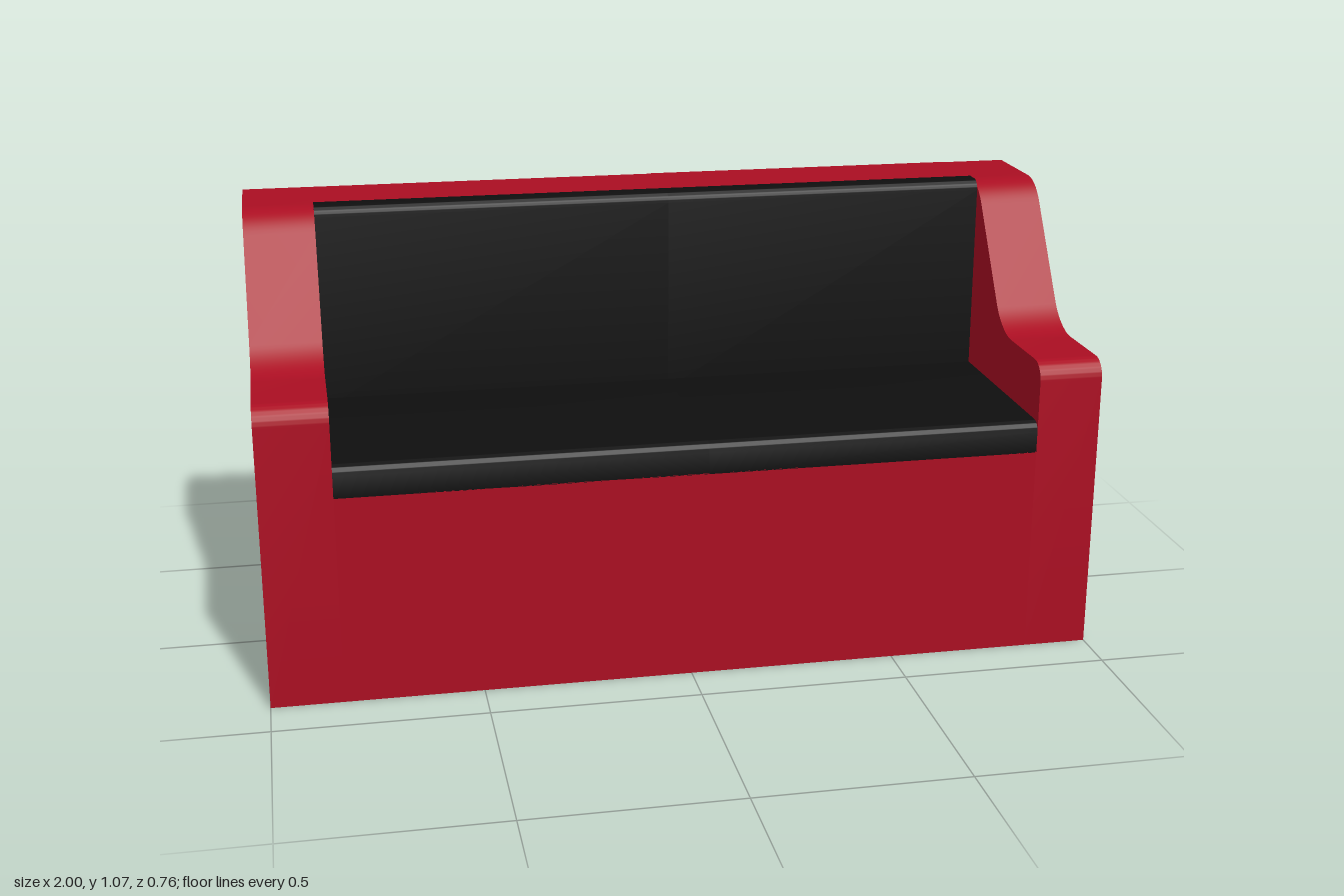
import * as THREE from 'three';
import { toCreasedNormals } from 'three/addons/utils/BufferGeometryUtils.js';

const red = new THREE.MeshStandardMaterial({ color: 0xaa0e22 });
const black = new THREE.MeshStandardMaterial({ color: 0x0e0e0e });

const BACK = -0.38, FRONT = 0.38, TOP = 1.066;
const ARM_R = -0.83, ARM_L = 0.845, SEAM = 0.04;

// Sweeps a side profile drawn in (z, y) from x0 to x1.
function sweep(name, shape, x0, x1, material) {
  const geo = new THREE.ExtrudeGeometry(shape, { depth: x1 - x0, bevelEnabled: false, curveSegments: 10 });
  geo.rotateY(-Math.PI / 2).translate(x1, 0, 0);
  const mesh = new THREE.Mesh(toCreasedNormals(geo, 0.6), material);
  mesh.name = name;
  return mesh;
}

function block(name, x0, x1, y0, y1, z0, z1) {
  const mesh = new THREE.Mesh(new THREE.BoxGeometry(x1 - x0, y1 - y0, z1 - z0), red);
  mesh.position.set((x0 + x1) / 2, (y0 + y1) / 2, (z0 + z1) / 2);
  mesh.name = name;
  return mesh;
}

// Sloping arm with a rounded front and S-shaped rise to the back
function armProfile() {
  const s = new THREE.Shape();
  s.moveTo(BACK, 0);
  s.lineTo(FRONT, 0);
  s.lineTo(FRONT, 0.685);
  s.absarc(FRONT - 0.045, 0.685, 0.045, 0, Math.PI / 2, false);
  s.lineTo(0.17, 0.73);
  s.bezierCurveTo(0.13, 0.73, 0.085, 0.757, 0.063, 0.787);
  s.lineTo(-0.09, 1.015);
  s.bezierCurveTo(-0.11, 1.045, -0.14, TOP, -0.18, TOP);
  s.lineTo(BACK, TOP);
  return s;
}

// Cushion section with its upper front edge rounded
function cushionProfile(z0, z1, y0, y1, r) {
  const s = new THREE.Shape();
  s.moveTo(z0, y0);
  s.lineTo(z1, y0);
  s.lineTo(z1, y1 - r);
  s.absarc(z1 - r, y1 - r, r, 0, Math.PI / 2, false);
  s.lineTo(z0, y1);
  return s;
}

export function createModel() {
  const sofa = new THREE.Group();
  sofa.name = 'sofa';

  // Arms
  sofa.add(sweep('rightArm', armProfile(), -1, ARM_R, red));
  sofa.add(sweep('leftArm', armProfile(), ARM_L, 1, red));

  // Base and back in two halves; the left half sits slightly further back
  for (const [side, x0, x1, z0] of [['right', ARM_R, SEAM, BACK], ['left', SEAM, ARM_L, BACK - 0.004]]) {
    sofa.add(block(side + 'Base', x0, x1, 0, 0.51, z0, FRONT));
    sofa.add(block(side + 'Back', x0, x1, 0.51, TOP, z0, -0.18));

    // Seat and back cushions
    sofa.add(sweep(side + 'SeatCushion', cushionProfile(-0.18, FRONT, 0.508, 0.585, 0.025), x0, x1, black));
    sofa.add(sweep(side + 'BackCushion', cushionProfile(-0.185, -0.127, 0.56, TOP + 0.003, 0.025), x0, x1, black));
  }
  return sofa;
}
